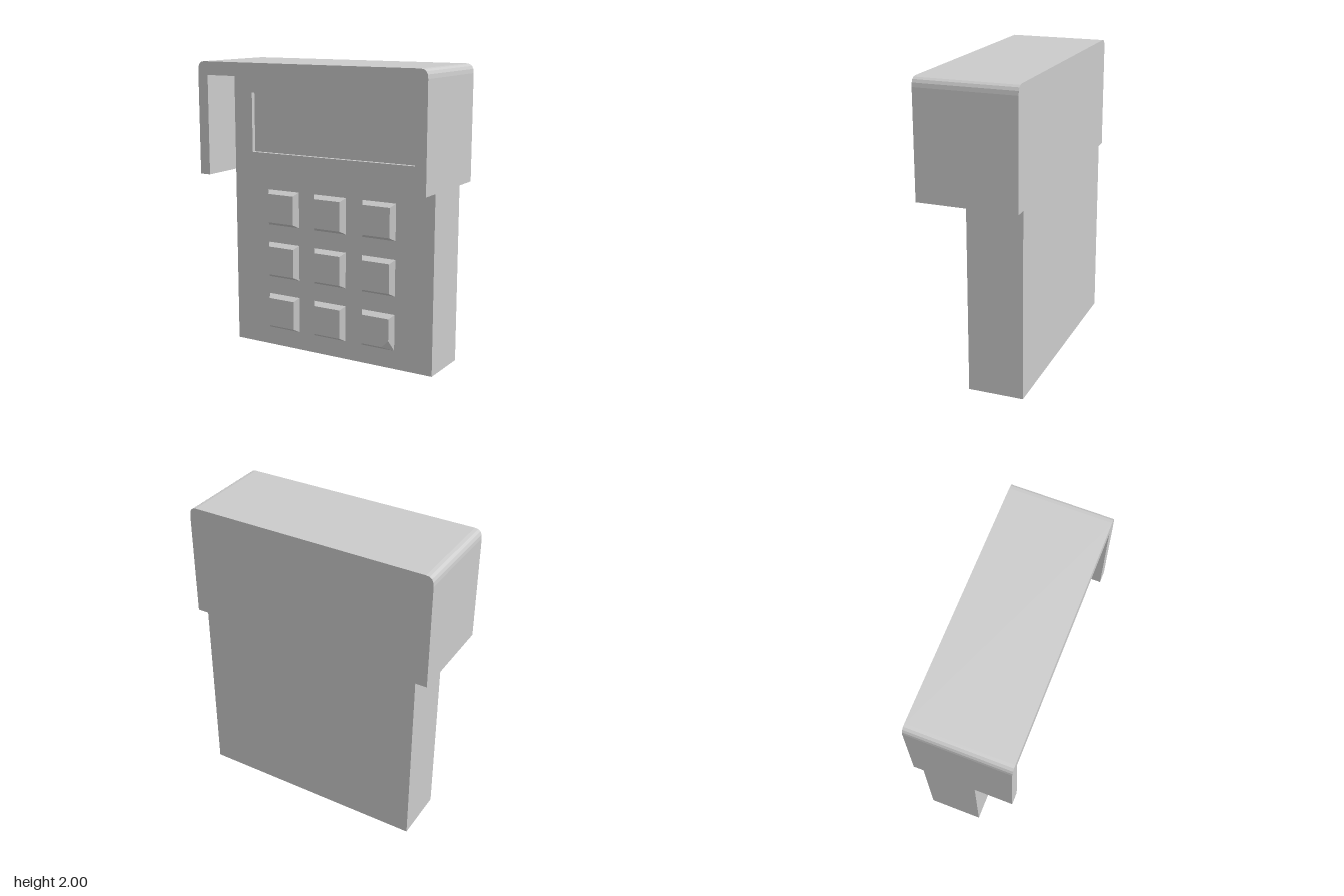
import * as THREE from 'three';
import { ConvexGeometry } from 'three/addons/geometries/ConvexGeometry.js';

const BACK = -0.33, FACE = 0.035, RECESS = 0.03;
const HALF = 0.773, INNER_TOP = 1.91;

const grey = new THREE.MeshStandardMaterial({ color: 0xcccccc, flatShading: true });

function addPart(parent, name, geometry) {
  const mesh = new THREE.Mesh(geometry, grey);
  mesh.name = name;
  parent.add(mesh);
  return mesh;
}

function rect(target, x0, y0, x1, y1) {
  target.moveTo(x0, y0).lineTo(x1, y0).lineTo(x1, y1).lineTo(x0, y1).closePath();
  return target;
}

function extrude(shape, z0, z1) {
  const geometry = new THREE.ExtrudeGeometry(shape, { depth: z1 - z0, bevelEnabled: false, curveSegments: 4 });
  return geometry.translate(0, 0, z0);
}

// Tapered key; a chipped key loses its lower front corner
function keyGeometry(chipped) {
  const b = 0.124, t = 0.1, h = 0.04;
  const points = [];
  for (const [sx, sy] of [[-1, -1], [1, -1], [1, 1], [-1, 1]]) {
    points.push(new THREE.Vector3(sx * b, sy * b, 0));
    if (chipped && sx > 0 && sy < 0) {
      points.push(new THREE.Vector3(t - 0.05, -t, h), new THREE.Vector3(t, -t + 0.05, h));
    } else {
      points.push(new THREE.Vector3(sx * t, sy * t, h));
    }
  }
  return new ConvexGeometry(points);
}

export function createModel() {
  const model = new THREE.Group();
  model.name = 'keypadTerminal';

  // Main slab, its front forming the floor of the screen recess
  const floorZ = FACE - RECESS;
  addPart(model, 'body', extrude(rect(new THREE.Shape(), -HALF, 0, HALF, INNER_TOP), BACK, floorZ));

  // Front plate with the screen opening
  const plate = rect(new THREE.Shape(), -HALF, 0, HALF, INNER_TOP);
  plate.holes.push(rect(new THREE.Path(), -0.628, 1.37, 0.628, 1.78));
  addPart(model, 'screenFrame', extrude(plate, floorZ, FACE));

  // Hood wrapping the top and both sides, rounded at the outer corners
  const hood = new THREE.Shape();
  hood.moveTo(-0.85, 1.24).lineTo(-HALF, 1.24).lineTo(-HALF, INNER_TOP)
    .lineTo(HALF, INNER_TOP).lineTo(HALF, 1.24).lineTo(0.85, 1.24).lineTo(0.85, 1.94)
    .quadraticCurveTo(0.85, 2, 0.8, 2).lineTo(-0.8, 2)
    .quadraticCurveTo(-0.85, 2, -0.85, 1.94).closePath();
  addPart(model, 'hood', extrude(hood, BACK, 0.33));

  // Three by three keypad
  const keypad = new THREE.Group();
  keypad.name = 'keypad';
  model.add(keypad);
  for (let row = 0; row < 3; row++) {
    for (let col = 0; col < 3; col++) {
      const key = addPart(keypad, 'key', keyGeometry(row === 0 && col === 2));
      key.position.set((col - 1) * 0.373, 0.25 + row * 0.372, FACE);
    }
  }
  return model;
}
